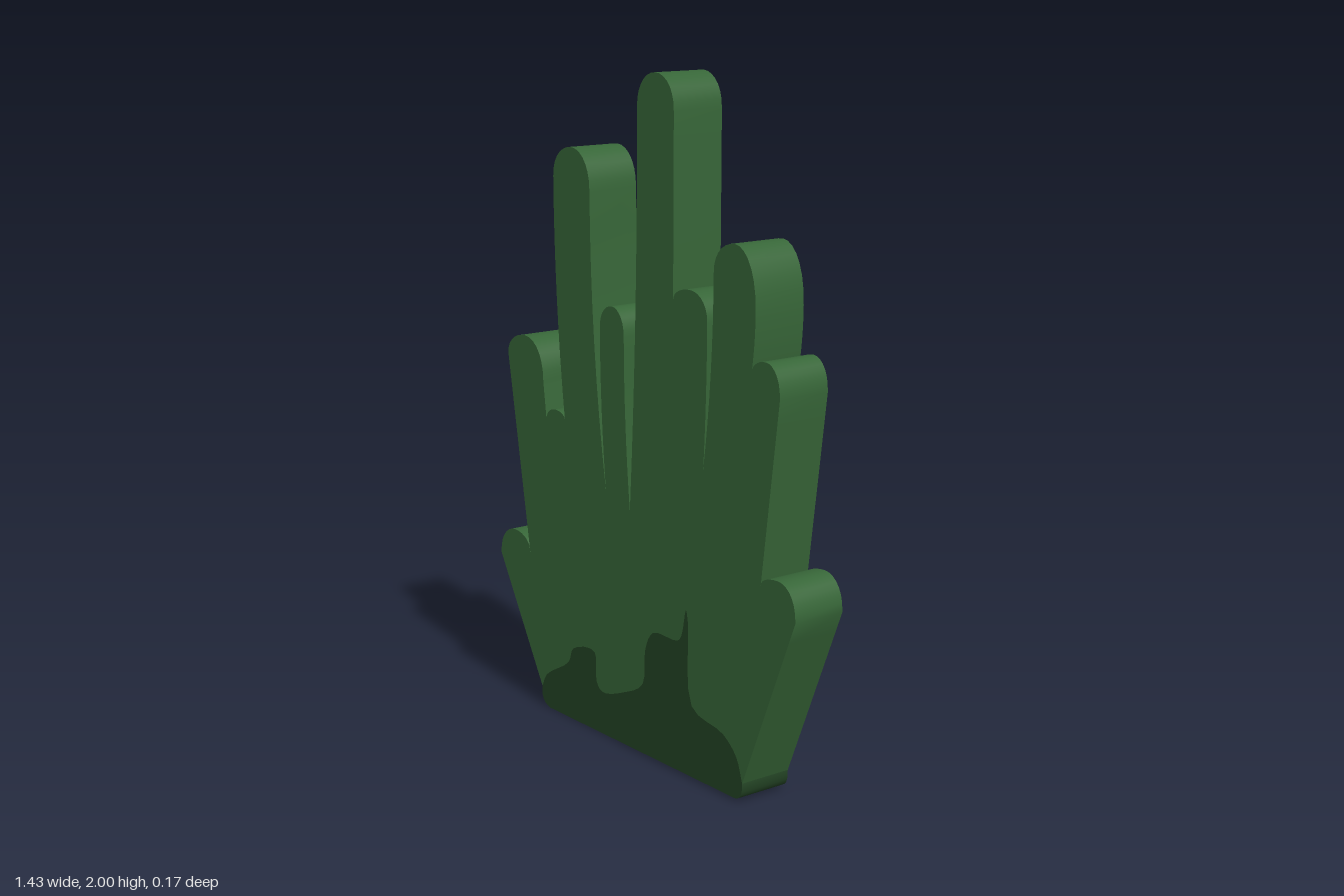
import * as THREE from 'three';
import { toCreasedNormals } from 'three/addons/utils/BufferGeometryUtils.js';

const DEPTH = 0.167;
const vec = (x, y) => new THREE.Vector2(x, y);

// Side of a blade: straight, or upright at the shoulder when bowed
function side(notch, shoulder, bowed) {
  const middle = notch.clone().lerp(shoulder, 0.5);
  if (bowed) middle.x = shoulder.x;
  const curve = new THREE.QuadraticBezierCurve(notch, middle, shoulder);
  return curve.getPoints(8);
}

// One blade: left side, rounded cap between two shoulders, right side
function blade(start, end, { left, right, top, bowed }) {
  const a = vec(...left), b = vec(...right);
  const centre = (a.x + b.x) / 2, radius = (b.x - a.x) / 2;
  const cap = [];
  for (let i = 1; i < 14; i++) {
    const angle = Math.PI * (1 - i / 14);
    const base = i < 7 ? a.y : b.y;
    cap.push(vec(centre + radius * Math.cos(angle), base + (top - base) * Math.sin(angle) ** 0.9));
  }
  return [...side(start, a, bowed), ...cap, ...side(end, b, bowed).reverse()];
}

// Extrude an outline, leaving out repeated points
function slab(name, points, material) {
  const clean = points.filter((p, i) => p.distanceTo(points[(i + 1) % points.length]) > 1e-4);
  const geometry = new THREE.ExtrudeGeometry(new THREE.Shape(clean), { depth: DEPTH, bevelEnabled: false });
  geometry.translate(0, 0, -DEPTH / 2);
  const mesh = new THREE.Mesh(toCreasedNormals(geometry, 0.6), material);
  mesh.name = name;
  return mesh;
}

export function createModel() {
  const leafGreen = new THREE.MeshStandardMaterial({ color: 0x376638 });
  leafGreen.name = 'leaf green';
  const darkGreen = new THREE.MeshStandardMaterial({ color: 0x234324 });
  darkGreen.name = 'dark green';

  // Notches between neighbouring blades, left to right
  const notches = [
    [-0.49, 0.06], [-0.548, 0.48], [-0.45, 0.925], [-0.352, 0.94], [-0.143, 0.76], [-0.026, 0.73],
    [0.178, 1.38], [0.315, 0.92], [0.52, 1.23], [0.568, 0.655], [0.497, 0.06],
  ].map(p => vec(...p));

  // Shoulders and top of each blade, left to right
  const blades = [
    { left: [-0.713, 0.445], right: [-0.55, 0.485], top: 0.538 },
    { left: [-0.655, 1.1], right: [-0.465, 1.04], top: 1.168 },
    { left: [-0.45, 0.925], right: [-0.352, 0.94], top: 0.965 },
    { left: [-0.4, 1.67], right: [-0.217, 1.64], top: 1.762, bowed: true },
    { left: [-0.17, 1.25], right: [-0.053, 1.24], top: 1.322, bowed: true },
    { left: [0.013, 1.9], right: [0.18, 1.9], top: 2, bowed: true },
    { left: [0.178, 1.38], right: [0.33, 1.34], top: 1.42, bowed: true },
    { left: [0.357, 1.48], right: [0.535, 1.4], top: 1.57, bowed: true },
    { left: [0.52, 1.23], right: [0.638, 1.18], top: 1.272 },
    { left: [0.568, 0.655], right: [0.713, 0.585], top: 0.685 },
  ];

  // Ragged border between blades and base, right to left
  const border = new THREE.CatmullRomCurve3([
    [0.497, 0.06], [0.47, 0.13], [0.41, 0.18], [0.268, 0.22], [0.25, 0.46], [0.24, 0.5],
    [0.22, 0.42], [0.2, 0.398], [0.085, 0.39], [0.048, 0.33], [0.035, 0.22], [-0.06, 0.165], [-0.17, 0.135],
    [-0.198, 0.16], [-0.207, 0.25], [-0.32, 0.23], [-0.345, 0.18], [-0.465, 0.105], [-0.49, 0.06],
  ].map(([x, y]) => new THREE.Vector3(x, y, 0)), false, 'centripetal').getPoints(72).map(p => vec(p.x, p.y));

  // Flat foot with rounded corners
  const foot = [
    ...new THREE.QuadraticBezierCurve(vec(-0.49, 0.06), vec(-0.5, 0.01), vec(-0.45, 0)).getPoints(6),
    ...new THREE.QuadraticBezierCurve(vec(0.465, 0.006), vec(0.5, 0.01), vec(0.497, 0.06)).getPoints(6),
  ];

  const tops = blades.flatMap((shape, i) => blade(notches[i], notches[i + 1], shape));
  const group = new THREE.Group();
  group.name = 'grassTuft';
  group.add(slab('blades', [...tops, ...border], leafGreen));
  group.add(slab('base', [...foot, ...border], darkGreen));
  return group;
}
